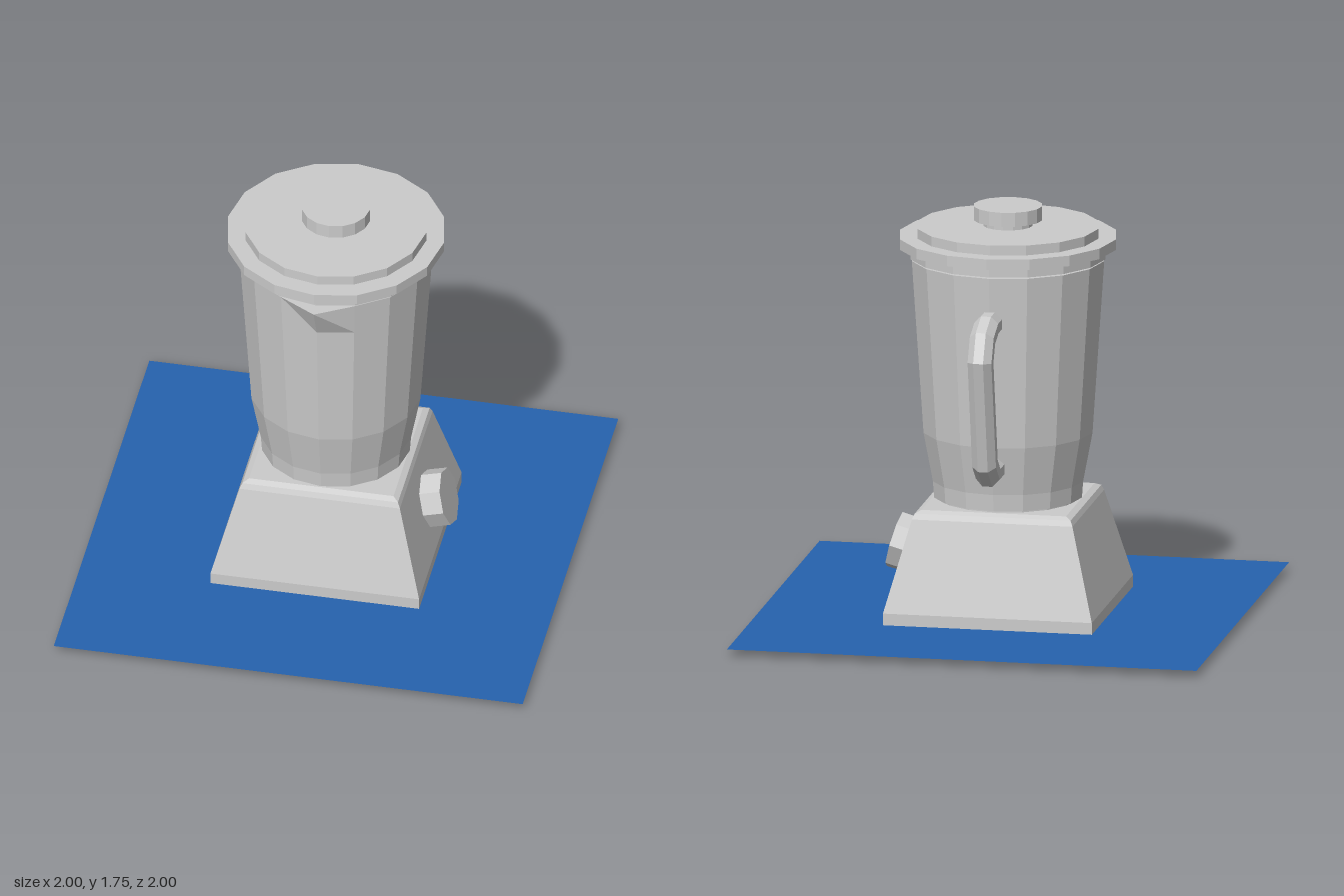
import * as THREE from 'three';

const grey = new THREE.MeshStandardMaterial({ color: 0xcccccc, flatShading: true, side: THREE.DoubleSide });
const blue = new THREE.MeshStandardMaterial({ color: 0x2662ae, side: THREE.DoubleSide });

function add(group, name, geometry, material = grey) {
  const mesh = new THREE.Mesh(geometry, material);
  mesh.name = name;
  group.add(mesh);
  return mesh;
}

// Faceted solid of revolution from [radius, height] pairs, listed bottom to top
const turned = (profile, sides = 16, scale = 1) =>
  new THREE.LatheGeometry(profile.map(([r, y]) => new THREE.Vector2(r * scale, y)), sides);

// Mitred octagonal bar following [z, y] points in the x = 0 plane
function bar(path, radius, sides = 8) {
  const pts = path.map(([z, y]) => new THREE.Vector3(0, y, z));
  const pos = [], index = [];
  const n = pts.length;
  pts.forEach((p, i) => {
    const a = pts[Math.max(i - 1, 0)], b = pts[Math.min(i + 1, n - 1)];
    const d1 = (i > 0 ? p.clone().sub(a) : b.clone().sub(p)).normalize();
    const d2 = (i < n - 1 ? b.clone().sub(p) : d1.clone()).normalize();
    const t = d1.clone().add(d2).normalize();
    const normal = new THREE.Vector3(0, t.z, -t.y);
    const stretch = 1 / t.dot(d1);
    for (let k = 0; k < sides; k++) {
      const ang = (k + 0.5) / sides * Math.PI * 2;
      const s = Math.sin(ang) * radius * stretch;
      pos.push(Math.cos(ang) * radius, p.y + normal.y * s, p.z + normal.z * s);
    }
  });
  for (let i = 0; i < n - 1; i++) {
    for (let k = 0; k < sides; k++) {
      const a = i * sides + k, b = i * sides + (k + 1) % sides;
      index.push(a, b, a + sides, b, b + sides, a + sides);
    }
  }
  const g = new THREE.BufferGeometry();
  g.setAttribute('position', new THREE.Float32BufferAttribute(pos, 3));
  g.setIndex(index);
  g.computeVertexNormals();
  return g;
}

export function createModel() {
  const model = new THREE.Group();
  model.name = 'blender';

  // Flat mat just above the foot of the base
  const mat = add(model, 'mat', new THREE.PlaneGeometry(2, 2), blue);
  mat.rotation.x = -Math.PI / 2;
  mat.position.y = 0.03;

  // Square tapered motor base with a softened top edge
  const base = add(model, 'motorBase', turned([
    [0, 0], [0.445, 0], [0.445, 0.08], [0.342, 0.465], [0.332, 0.488], [0.308, 0.5], [0, 0.5],
  ], 4, Math.SQRT2));
  base.rotation.y = Math.PI / 4;

  // Dial square to the sloping left side of the base
  const dial = add(model, 'dial', new THREE.CylinderGeometry(0.122, 0.122, 0.09, 8));
  dial.position.set(0.439, 0.283, 0);
  dial.rotation.z = -Math.PI / 2 + 0.275;

  // Jar
  add(model, 'jar', turned([
    [0, 0.5], [0.295, 0.5], [0.295, 0.51], [0.315, 0.51], [0.32, 0.58],
    [0.36, 0.79], [0.41, 1.53], [0, 1.53],
  ]));

  // Pouring spout, a wedge with a centre crease
  const spout = new THREE.BufferGeometry();
  spout.setAttribute('position', new THREE.Float32BufferAttribute([
    -0.157, 1.53, 0.379, 0, 1.53, 0.47, 0.157, 1.53, 0.379,
    -0.154, 1.385, 0.37, 0, 1.385, 0.402, 0.154, 1.385, 0.37,
  ], 3));
  spout.setIndex([0, 3, 4, 0, 4, 1, 1, 4, 5, 1, 5, 2, 0, 1, 2, 3, 5, 4]);
  spout.computeVertexNormals();
  add(model, 'spout', spout);

  // Handle at the back
  add(model, 'handle', bar([
    [-0.36, 1.332], [-0.465, 1.332], [-0.55, 1.298], [-0.593, 1.212],
    [-0.497, 0.757], [-0.428, 0.697], [-0.31, 0.697],
  ], 0.055));

  // Stepped lid and its cap
  add(model, 'lid', turned([
    [0, 1.537], [0.415, 1.537], [0.415, 1.58], [0.46, 1.58], [0.46, 1.625],
    [0.385, 1.625], [0.385, 1.667], [0, 1.667],
  ]));
  add(model, 'lidCap', turned([
    [0.105, 1.667], [0.105, 1.692], [0.145, 1.692], [0.145, 1.752], [0, 1.752],
  ]));

  return model;
}
